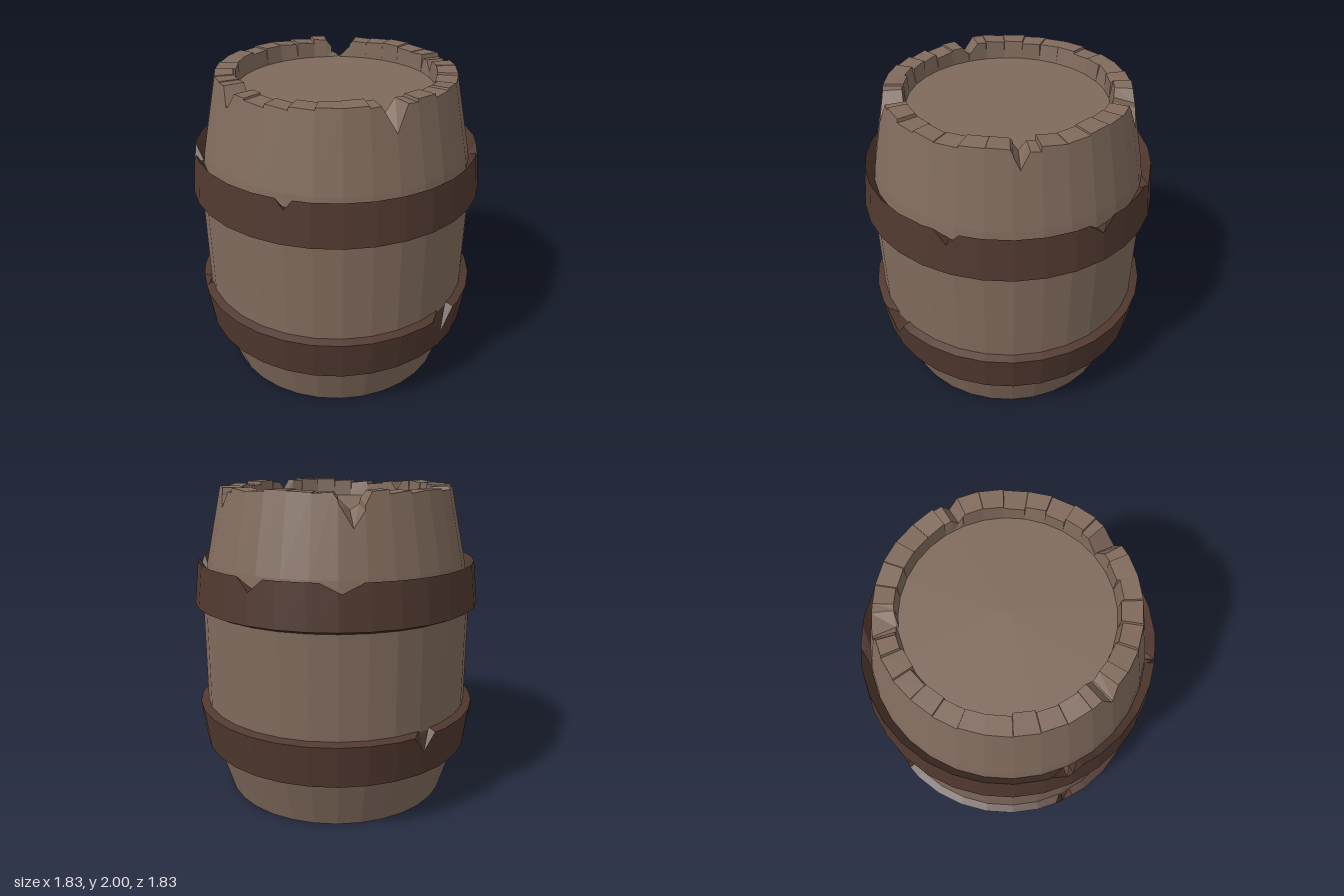
import * as THREE from 'three';

const SIDES = 32;
const STEP = 360 / SIDES;
const EPS = 0.12; // half-gap in degrees that makes a vertical step between rim blocks

// Radius on a 32-sided outline at any angle (degrees)
function onPolygon(r, deg) {
  const off = ((deg % STEP) + STEP) % STEP - STEP / 2;
  return r * Math.cos(Math.PI / SIDES) / Math.cos(THREE.MathUtils.degToRad(off));
}

// Deepest cut made at an angle by a list of V-shaped chips [angle, halfWidth, depth]
function cutAt(chips, deg) {
  let cut = 0;
  for (const [centre, half, depth] of chips) {
    const d = Math.abs(((deg - centre) % 360 + 540) % 360 - 180);
    cut = Math.max(cut, depth * (1 - d / half));
  }
  return cut;
}

// Every angle where the cross-section changes, in order round the barrel
function sampleAngles(chips, stepped) {
  const list = [];
  for (let i = 0; i < SIDES; i++) {
    if (stepped) list.push(i * STEP + EPS, (i + 1) * STEP - EPS);
    else list.push(i * STEP);
  }
  for (const [centre, half] of chips) {
    for (const a of [centre - half, centre, centre + half]) list.push((a + 360) % 360);
  }
  list.sort((a, b) => a - b);
  return list;
}

// Skin of cross-sections: profileAt(deg) gives [radius, y] points, bottom to top on the outside
function revolve(angles, profileAt) {
  const sections = angles.map((deg) => {
    const t = THREE.MathUtils.degToRad(deg);
    return profileAt(deg).map(([r, y]) => {
      const p = onPolygon(r, deg);
      return new THREE.Vector3(Math.sin(t) * p, y, Math.cos(t) * p);
    });
  });
  const pos = [];
  const side = new THREE.Vector3(), side2 = new THREE.Vector3();
  const tri = (a, b, c) => {
    side.subVectors(b, a).cross(side2.subVectors(c, a));
    if (side.length() > 1e-9) for (const p of [a, b, c]) pos.push(p.x, p.y, p.z);
  };
  sections.forEach((s, i) => {
    const n = sections[(i + 1) % sections.length];
    for (let j = 0; j < s.length - 1; j++) {
      tri(s[j], n[j], n[j + 1]);
      tri(s[j], n[j + 1], s[j + 1]);
    }
  });
  const geo = new THREE.BufferGeometry();
  geo.setAttribute('position', new THREE.Float32BufferAttribute(pos, 3));
  geo.computeVertexNormals();
  return geo;
}

function seeded(seed) {
  return () => (seed = (seed * 16807) % 2147483647) / 2147483647;
}

export function createModel() {
  const group = new THREE.Group();
  const wood = new THREE.MeshStandardMaterial({ color: 0x806a5c, flatShading: true });
  const iron = new THREE.MeshStandardMaterial({ color: 0x50382f, flatShading: true, side: THREE.DoubleSide });
  const add = (name, geo, mat) => {
    const mesh = new THREE.Mesh(geo, mat);
    mesh.name = name;
    group.add(mesh);
  };

  // Barrel body: bulging staves, uneven notched rim and sunken lid in one skin
  const rand = seeded(77);
  const blocks = Array.from({ length: SIDES }, () => ({
    top: 1.965 + 0.03 * rand(), tilt: 0.014 * (rand() - 0.5), inner: 0.605 + 0.02 * rand(),
  }));
  blocks[3].top = blocks[20].top = 1.993;
  const notches = [[67.5, 6.3, 0.15], [-12, 5, 0.11], [149, 4, 0.1], [-140, 8.5, 0.17]];
  add('barrelBody', revolve(sampleAngles(notches, true), (deg) => {
    const block = blocks[Math.floor(deg / STEP) % SIDES];
    const along = (deg % STEP) / STEP - 0.5;
    const rim = Math.min(2, block.top + block.tilt * along * 2);
    const cut = cutAt(notches, deg);
    const outerY = rim - cut;
    return [
      [0, 0], [0.73, 0], [0.83, 0.33], [0.865, 0.6], [0.865, 1.25], [0.825, 1.53],
      [0.73 + (1.98 - outerY) * 0.211, outerY],
      [block.inner, Math.max(1.885, rim - cut * 0.6)],
      [0.605, 1.88], [0, 1.88],
    ];
  }), wood);

  // Upper hoop: flares downwards, chipped along its top edge
  const upperChips = [[24, 3.2, 0.06], [-36, 6, 0.09], [180, 6, 0.08], [-145, 8, 0.06], [122, 5, 0.08]];
  add('upperHoop', revolve(sampleAngles(upperChips, false), (deg) => {
    const cut = cutAt(upperChips, deg);
    return [[0.86, 1.24], [0.915, 1.265], [0.885 + cut * 0.113, 1.53 - cut], [0.838, 1.45]];
  }), iron);

  // Lower hoop: flares upwards, with chips shaved off its shoulder
  const lowerChips = [[-33, 4, 0.1], [90, 6.8, 0.15], [-112, 5, 0.11]];
  add('lowerHoop', revolve(sampleAngles(lowerChips, false), (deg) => {
    const cut = cutAt(lowerChips, deg);
    return [[0.838, 0.41], [0.88, 0.33], [0.915 - cut * 0.132, 0.595 - cut], [0.86, 0.61]];
  }), iron);

  return group;
}
